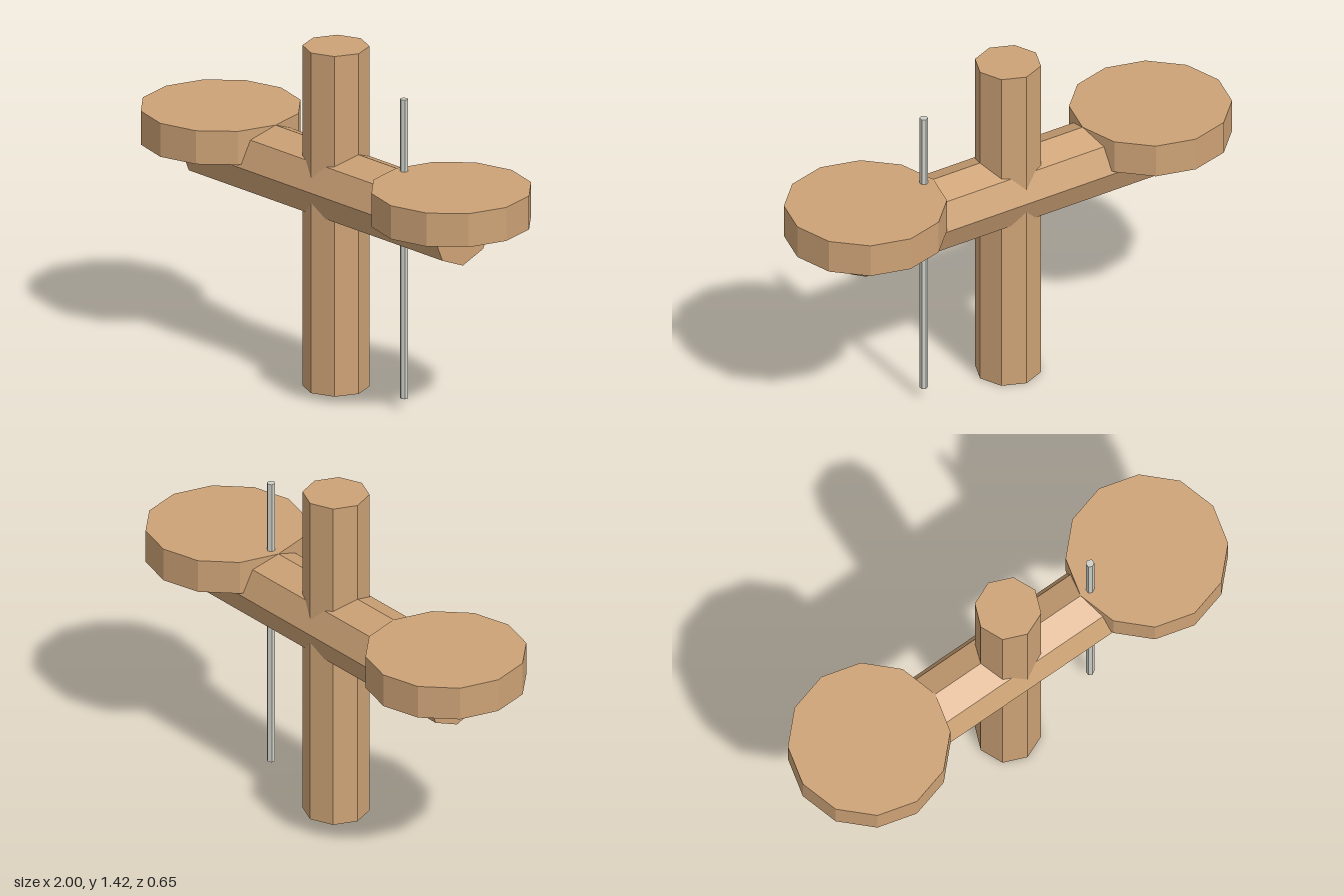
import * as THREE from 'three';

export function createModel() {
  const model = new THREE.Group();
  const wood = new THREE.MeshStandardMaterial({ name: 'wood', color: 0xcda276, flatShading: true });
  const metal = new THREE.MeshStandardMaterial({ name: 'light grey metal', color: 0xd0d0c8, flatShading: true });

  const addPrism = (name, material, radius, length, sides, x, y) => {
    const mesh = new THREE.Mesh(new THREE.CylinderGeometry(radius, radius, length, sides), material);
    mesh.name = name;
    mesh.position.set(x, y, 0);
    model.add(mesh);
    return mesh;
  };

  // upright octagonal post
  addPrism('post', wood, 0.133, 1.422, 8, 0, 0.711);

  // horizontal octagonal beam
  addPrism('beam', wood, 0.154, 1.49, 8, 0, 0.846).rotation.z = Math.PI / 2;

  // twelve-sided discs resting on the beam ends
  for (const [name, side] of [['leftDisc', 1], ['rightDisc', -1]]) {
    addPrism(name, wood, 0.323, 0.14, 12, side * 0.677, 0.93);
  }

  // thin vertical rod beside the left disc
  addPrism('rod', metal, 0.017, 1.25, 6, 0.4, 0.676);

  return model;
}
